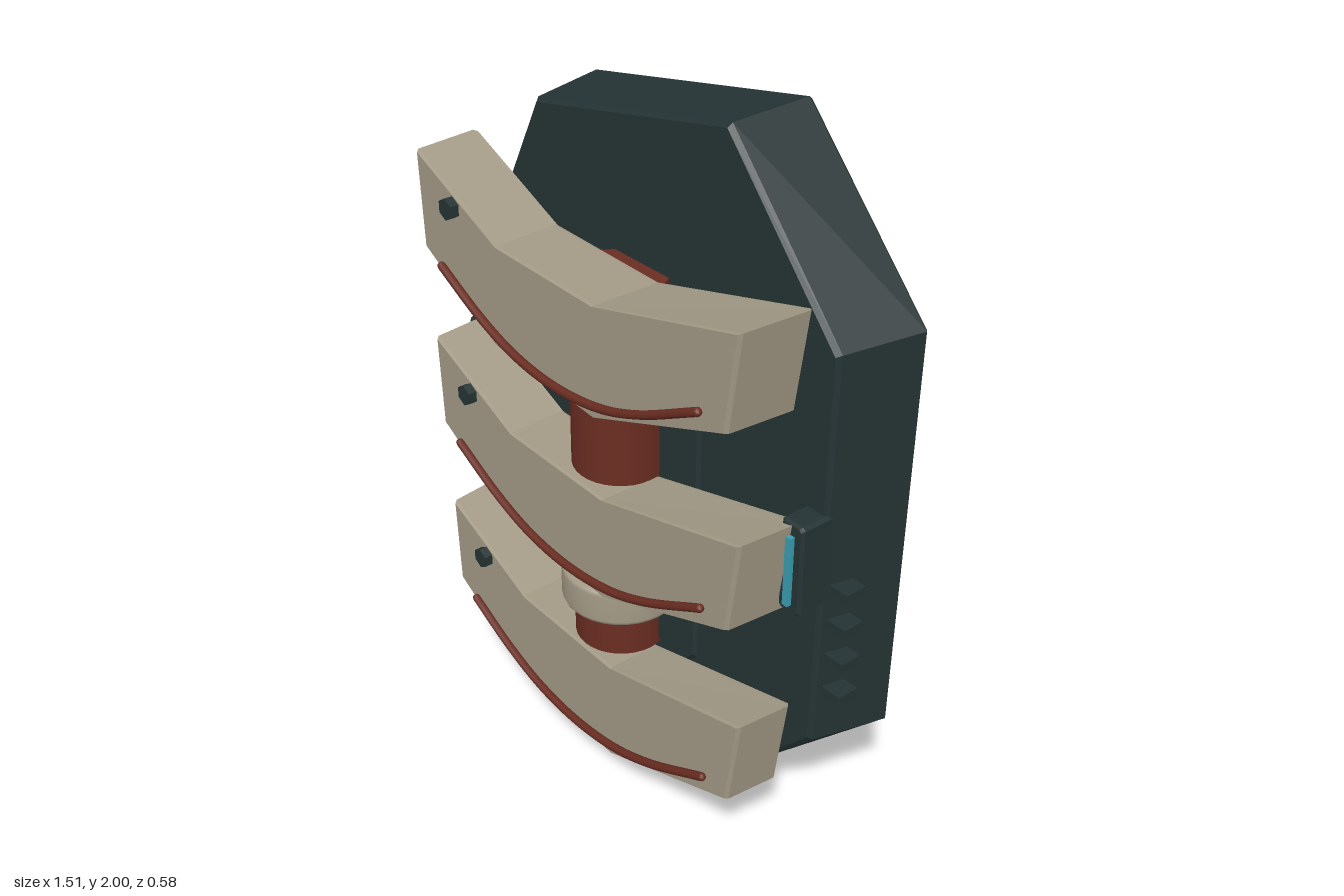
import * as THREE from 'three';

const mat = (name, color) => {
  const m = new THREE.MeshStandardMaterial({ color });
  m.name = name;
  return m;
};

// Solid from one counter-clockwise outline scaled through rings [z, scaleX, scaleY]
function loft(outline, rings, cx, cy) {
  const pos = [];
  const pts = rings.map(([z, sx, sy]) =>
    outline.map(([x, y]) => [cx + (x - cx) * sx, cy + (y - cy) * sy, z]));
  const n = outline.length;
  for (let r = 0; r < pts.length - 1; r++) {
    for (let i = 0; i < n; i++) {
      const j = (i + 1) % n;
      const a = pts[r][i], b = pts[r][j], c = pts[r + 1][j], d = pts[r + 1][i];
      pos.push(...a, ...b, ...c, ...a, ...c, ...d);
    }
  }
  const faces = THREE.ShapeUtils.triangulateShape(outline.map(([x, y]) => new THREE.Vector2(x, y)), []);
  const back = pts[0], front = pts[pts.length - 1];
  for (const [a, b, c] of faces) {
    pos.push(...front[a], ...front[b], ...front[c]);
    pos.push(...back[a], ...back[c], ...back[b]);
  }
  const g = new THREE.BufferGeometry();
  g.setAttribute('position', new THREE.Float32BufferAttribute(pos, 3));
  g.computeVertexNormals();
  return g;
}

// Rectangle with cut corners
const octagon = (x0, x1, y0, y1, c) => [
  [x0 + c, y0], [x1 - c, y0], [x1, y0 + c], [x1, y1 - c],
  [x1 - c, y1], [x0 + c, y1], [x0, y1 - c], [x0, y0 + c]];

export function createModel() {
  const model = new THREE.Group();
  const dark = mat('dark shell', 0x253334);
  const bone = mat('bone plate', 0xa39a86);
  const rust = mat('rust red', 0x6a2d22);
  const cyan = mat('cyan light', 0x3a9db0);

  const add = (name, geometry, material, x = 0, y = 0, z = 0, parent = model) => {
    const m = new THREE.Mesh(geometry, material);
    m.name = name;
    m.position.set(x, y, z);
    parent.add(m);
    return m;
  };
  const box = (name, material, w, h, d, x, y, z) =>
    add(name, new THREE.BoxGeometry(w, h, d), material, x, y, z);

  // Irregular eight-sided shell, narrowing towards the front
  const shell = [[-0.44, 0], [0.35, 0], [0.74, 0.4], [0.75, 1.56],
    [0.335, 2], [-0.47, 1.845], [-0.757, 1.33], [-0.73, 0.5]];
  add('shell', loft(shell, [[-0.228, 0.985, 0.99], [-0.215, 1, 1],
    [0, 0.93, 0.982], [0.012, 0.915, 0.97]], 0, 1), dark);

  // Raised back panel
  add('backPanel', loft(octagon(-0.49, 0.49, 0.24, 1.78, 0.13), [[-0.286, 0.97, 0.98],
    [-0.275, 1, 1], [-0.22, 1, 1]], 0, 1.01), dark);

  // Plate behind the spine
  add('spinePlate', loft(octagon(-0.28, 0.28, 0.42, 1.5, 0.03), [[0, 1, 1],
    [0.045, 1, 1], [0.055, 0.97, 0.985]], 0, 0.96), dark);

  // Spine column with a rounded collar
  add('spine', new THREE.CylinderGeometry(0.13, 0.13, 1.11, 32), rust, 0, 0.965, 0.085);
  const collar = [[0.12, -0.055], [0.152, -0.055], [0.162, -0.05], [0.166, -0.04],
    [0.166, 0.04], [0.162, 0.05], [0.152, 0.055], [0.12, 0.055]];
  add('collar', new THREE.LatheGeometry(collar.map(p => new THREE.Vector2(...p)), 32),
    bone, 0, 0.585, 0.085);

  // Three curved ribs, each shallower than the one above
  const rib = [[-0.635, 1.42], [-0.31, 1.243], [0.125, 1.213], [0.622, 1.4],
    [0.66, 1.672], [0.125, 1.53], [-0.29, 1.538], [-0.648, 1.692]];
  const cord = new THREE.CatmullRomCurve3([[-0.525, 1.395], [-0.35, 1.31], [-0.2, 1.262],
    [-0.03, 1.245], [0.15, 1.265], [0.3, 1.315], [0.52, 1.425]]
    .map(([x, y]) => new THREE.Vector3(x, y, 0)));
  [0, 1, 2].forEach(i => {
    const g = new THREE.Group();
    g.name = 'ribAssembly';
    g.position.y = -0.564 * i;
    model.add(g);
    const front = 0.264 - 0.02 * i;
    add('rib', loft(rib, [[0.06, 0.985, 0.985], [0.07, 1, 1],
      [front - 0.01, 0.975, 0.99], [front, 0.962, 0.97]], 0, 1.45), bone, 0, 0, 0, g);
    add('cord', new THREE.TubeGeometry(cord, 40, 0.012, 8), rust, 0, 0, front + 0.009, g);
    for (const t of [0, 1]) {
      const p = cord.getPoint(t);
      add('cordEnd', new THREE.SphereGeometry(0.012, 8, 6), rust, p.x, p.y, front + 0.009, g);
    }
    const bolt = add('bolt', new THREE.CylinderGeometry(0.031, 0.031, 0.04, 6).toNonIndexed(),
      dark, -0.465, 1.583, front + 0.005, g);
    bolt.geometry.computeVertexNormals();
    bolt.rotation.x = Math.PI / 2;
  });

  // Side clasps with light strips
  for (const s of [-1, 1]) {
    add('sideClasp', loft(octagon(-0.038, 0.038, -0.132, 0.132, 0.008), [[-0.02, 1, 1],
      [0.082, 1, 1], [0.09, 0.8, 0.95]], 0, 0), dark, s * 0.658, 0.983, 0);
    box('lightStrip', cyan, 0.018, 0.2, 0.02, s * 0.66, 0.98, 0.094);
  }

  // Cooling fins on the left side
  for (let i = 0; i < 4; i++) box('fin', dark, 0.085, 0.025, 0.064, 0.713, 0.895 - i * 0.107, -0.045);

  // Lower housing with a red bar
  add('lowerHousing', loft(octagon(-0.2, 0.32, 0.04, 0.2, 0.05), [[0, 1, 1],
    [0.095, 1, 1], [0.108, 0.96, 0.9]], 0.06, 0.12), dark);
  box('lowerBar', rust, 0.28, 0.025, 0.025, 0.07, 0.117, 0.118);

  return model;
}
